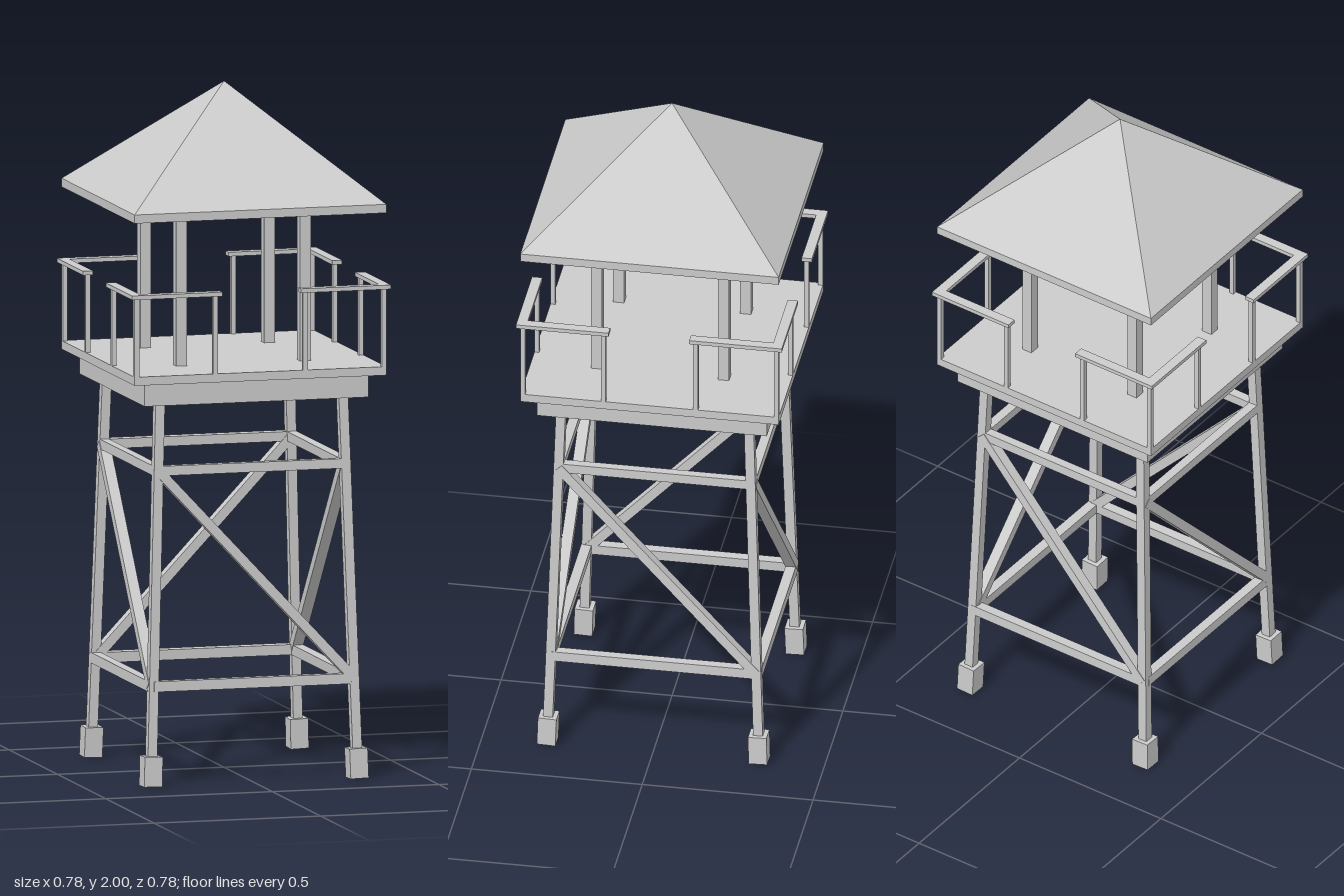
import * as THREE from 'three';

const material = new THREE.MeshStandardMaterial({ color: 0xcccccc, flatShading: true });

function add(parent, name, geometry, x = 0, y = 0, z = 0) {
  const mesh = new THREE.Mesh(geometry, material);
  mesh.name = name;
  mesh.position.set(x, y, z);
  parent.add(mesh);
  return mesh;
}

function box(parent, name, w, h, d, x, y, z) {
  return add(parent, name, new THREE.BoxGeometry(w, h, d), x, y, z);
}

// Square beam between two points, its depth axis kept close to the given normal
function beam(parent, name, a, b, width, depth, normal) {
  const along = b.clone().sub(a);
  const mid = a.clone().add(b).multiplyScalar(0.5);
  const mesh = box(parent, name, width, along.length(), depth, mid.x, mid.y, mid.z);
  const yAxis = along.normalize();
  const xAxis = yAxis.clone().cross(normal).normalize();
  const zAxis = xAxis.clone().cross(yAxis);
  mesh.quaternion.setFromRotationMatrix(new THREE.Matrix4().makeBasis(xAxis, yAxis, zAxis));
  return mesh;
}

// Distance of the leg centre line from the tower axis at height y
const legOffset = (y) => 0.31 - 0.0315 * y;
const legPoint = (sx, y) => new THREE.Vector3(sx * legOffset(y), y, legOffset(y));

export function createModel() {
  const tower = new THREE.Group();
  tower.name = 'watchtower';
  const low = 0.29, high = 0.915;
  const front = new THREE.Vector3(0, 0.0315, 1).normalize();

  // Four identical quarters: leg, bracing of one face, roof post and corner railing
  for (let i = 0; i < 4; i++) {
    const side = new THREE.Group();
    side.name = 'quarter' + (i + 1);
    side.rotation.y = i * Math.PI / 2;
    tower.add(side);

    beam(side, 'leg', legPoint(1, 0.05), legPoint(1, 1.15), 0.028, 0.028, front);
    beam(side, 'foot', legPoint(1, 0.001), legPoint(1, 0.088), 0.054, 0.054, front);

    beam(side, 'lowerBrace', legPoint(-1, low), legPoint(1, low), 0.03, 0.03, front);
    beam(side, 'upperBrace', legPoint(-1, high), legPoint(1, high), 0.028, 0.028, front);
    beam(side, 'diagonalBrace', legPoint(-1, high), legPoint(1, low), 0.028, 0.032, front);

    box(side, 'roofPost', 0.032, 0.47, 0.032, 0.186, 1.43, 0.186);

    // Corner railing
    const c = 0.371, e = 0.135;
    for (const [x, z] of [[c, c], [e, c], [c, e]]) {
      box(side, 'railingPost', 0.014, 0.24, 0.014, x, 1.317, z);
    }
    box(side, 'handrail', 0.271, 0.012, 0.03, 0.2535, 1.438, 0.374);
    box(side, 'handrail', 0.03, 0.012, 0.241, 0.374, 1.438, 0.2385);
  }

  // Platform
  box(tower, 'platformBase', 0.672, 0.068, 0.672, 0, 1.146, 0);
  box(tower, 'platformDeck', 0.756, 0.025, 0.756, 0, 1.1925, 0);

  // Pyramid roof on a thin eave slab
  const eave = 0.378;
  box(tower, 'roofEave', eave * 2, 0.025, eave * 2, 0, 1.6655, 0);
  const pyramid = new THREE.ConeGeometry(eave * Math.SQRT2, 0.322, 4, 1, true);
  pyramid.rotateY(Math.PI / 4);
  add(tower, 'roof', pyramid, 0, 1.839, 0);

  return tower;
}
